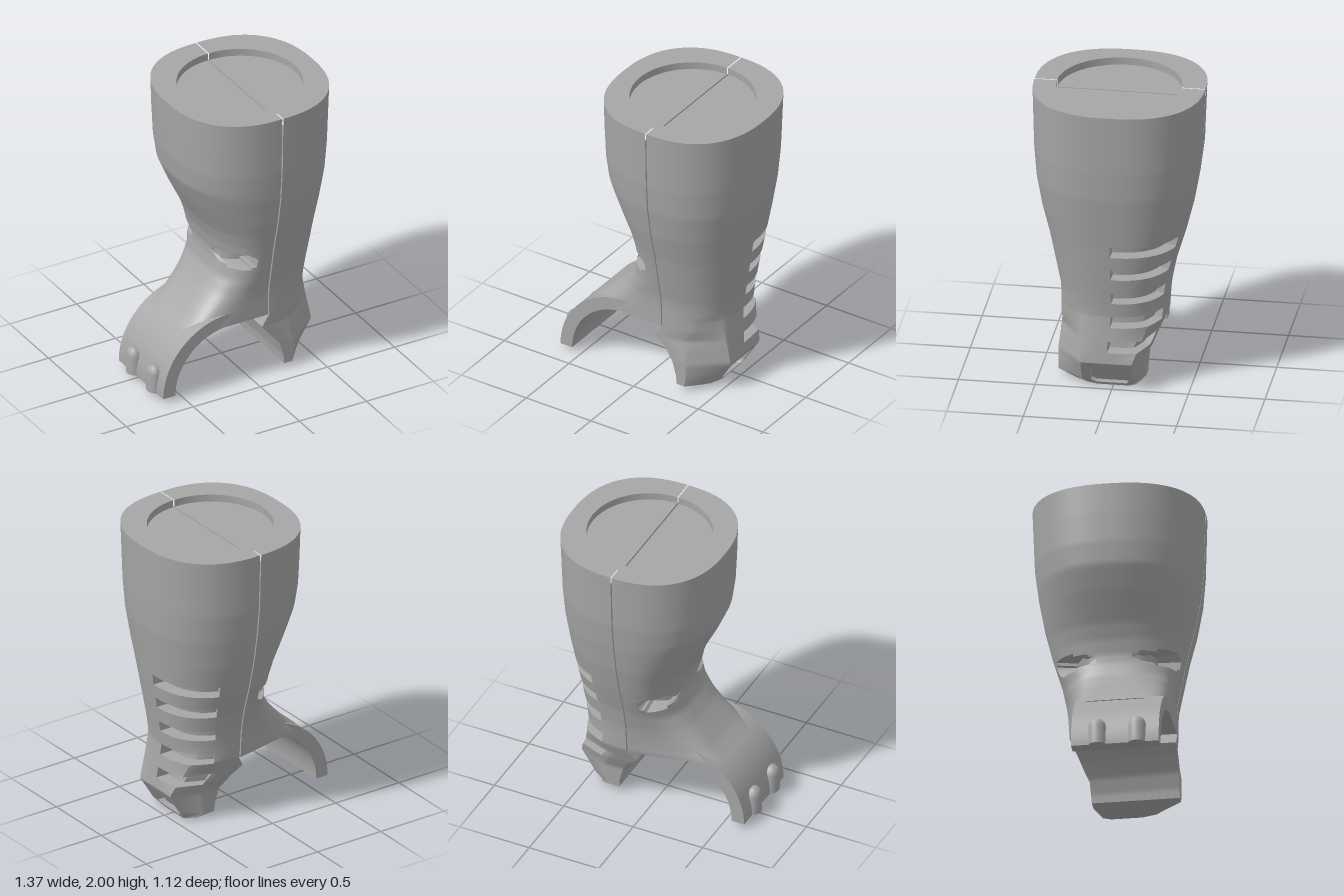
import * as THREE from 'three';
import { toCreasedNormals } from 'three/addons/utils/BufferGeometryUtils.js';

// linear lookup in rows of [y, v0, v1, ...], listed from high y to low y
function at(table, y) {
  for (let i = 1; i < table.length; i++) {
    const a = table[i - 1], b = table[i];
    if (y >= b[0]) {
      const t = Math.min(1, (a[0] - y) / (a[0] - b[0]));
      return a.slice(1).map((v, k) => v + (b[k + 1] - v) * t);
    }
  }
  return table[table.length - 1].slice(1);
}

// y, front z, back z
const DEPTH = [[2, .56, -.555], [1.6, .55, -.54], [1.4, .535, -.515], [1.2, .5, -.48], [1, .45, -.43], [.8, .41, -.37],
  [.65, .38, -.34], [.58, .375, -.333], [.45, .375, -.325], [.3, .375, -.26], [.2, .375, -.21], [.04, .375, -.2], [0, .2, -.15]];
// y, outer x, section exponent, narrowing of the back towards the strap
const LEFT = [[2, -.41, .83, 0], [1.8, -.405, .83, 0], [1.6, -.395, .83, 0], [1.45, -.375, .84, 0], [1.3, -.31, .85, 0],
  [1.2, -.26, .85, 0], [1.1, -.21, .84, 0], [1, -.175, .82, 0], [.9, -.155, .8, 0], [.84, -.156, .76, .05],
  [.75, -.175, .68, .15], [.65, -.24, .55, .25], [.58, -.3, .45, .32], [.5, -.375, .35, .37], [.44, -.45, .3, .38]];
// y, inner x, outer x
const RIGHT = [[2, .137, .68], [1.6, .137, .665], [1.4, .137, .65], [1.2, .137, .62], [1, .137, .59], [.8, .137, .56],
  [.6, .137, .53], [.52, .137, .52], [.44, .137, .526], [.36, .085, .535], [.3, .155, .54], [.2, .217, .55],
  [.1, .245, .487], [.04, .25, .45], [0, .38, .425]];
// faceted heel section: u, x fraction, z fraction
const HEEL = [[1, 0, -1], [.9, .4, -1], [.75, 1, -.65], [.35, 1, .53], [.2, .3, 1], [0, 0, 1]];
const SLOTS = [[.97, 1.045], [.8, .87], [.62, .695], [.445, .52], [.275, .35]];
const SLOT_U = [.5, .87], POCKET_U = [.4, .7];
const EPS = .001, inside = (v, [a, b]) => v > a && v < b;

const spow = (v, e) => Math.sign(v) * Math.pow(Math.abs(v), e);

function leftPoint(u, y) {
  const [xo, e, k] = at(LEFT, y), [zf, zb] = at(DEPTH, y);
  const s = spow(Math.sin(u * Math.PI), e), c = spow(Math.cos(u * Math.PI), e);
  const x = .128 + (xo - .128) * s;
  let z = c > 0 ? c * zf : -c * zb * (1 - k * s);
  // lens-shaped eyelet at the waist
  if (Math.hypot((x + .06) / .09, (y - .88) / .05) < 1) z *= .65;
  return [x, y, z];
}

function rightPoint(u, y) {
  const [xi, xo] = at(RIGHT, y), [zf, zb] = at(DEPTH, y);
  let s = spow(Math.sin(u * Math.PI), .83), c = spow(Math.cos(u * Math.PI), .83);
  const t = THREE.MathUtils.clamp((.56 - y) / .34, 0, 1), [hx, hz] = at(HEEL, u);
  s += (hx - s) * t;
  c += (hz - c) * t;
  let x = xi + (xo - xi) * s, z = c > 0 ? c * zf : -c * zb;
  // side slots and the heel pocket are sunk into the surface
  if (inside(u, SLOT_U) && SLOTS.some(r => inside(y, r))) {
    x -= .09 * s;
    z *= .82;
  }
  if (inside(u, POCKET_U) && inside(y, [.02, .15])) x -= .045;
  return [x, y, z];
}

// one half of the sleeve: recess floor, rim, outer wall, split face and bottom
function sleeveHalf(point, split, dir, yEnd) {
  const us = [], ys = [1.95];
  for (let i = 0; i <= 60; i++) us.push(i / 60);
  for (const v of [...SLOT_U, ...POCKET_U]) us.push(v - EPS, v + EPS);
  for (let y = 2; y > yEnd + .01; y -= .02) ys.push(y);
  if (dir > 0) {
    for (const v of [...SLOTS.flat(), .15, .02]) ys.push(v - EPS, v + EPS);
    ys.push(.04);
  }
  ys.push(yEnd);
  us.sort((a, b) => a - b);
  ys.sort((a, b) => b - a);
  const R = .405, n = us.length;
  const ring = (y, w) => us.map(u => [split + dir * w * R * Math.sin(u * Math.PI), y, R * Math.cos(u * Math.PI) + .007]);
  const rows = [ring(1.95, 0), ring(1.95, 1), ring(2, 1), ...ys.map(y => us.map(u => point(u, y)))];
  const pos = rows.flat(2), index = [];
  const tri = (a, b, c) => dir > 0 ? index.push(a, b, c) : index.push(a, c, b);
  for (let i = 0; i < rows.length - 1; i++) {
    const wrap = i > 2 && rows[i][0][1] <= 1.951;
    for (let j = 0; j < (wrap ? n : n - 1); j++) {
      const a = i * n + j, b = i * n + (j + 1) % n;
      tri(a, a + n, b);
      tri(b, a + n, b + n);
    }
  }
  const last = rows[rows.length - 1], base = (rows.length - 1) * n;
  pos.push((last[0][0] + last[30][0]) / 2, yEnd, (last[0][2] + last[n - 1][2]) / 2);
  for (let j = 0; j < n; j++) tri(rows.length * n, base + (j + 1) % n, base + j);
  const g = new THREE.BufferGeometry();
  g.setAttribute('position', new THREE.Float32BufferAttribute(pos, 3));
  g.setIndex(index);
  return toCreasedNormals(g, .55);
}

export function createModel() {
  const group = new THREE.Group();
  const grey = new THREE.MeshStandardMaterial({ color: 0xa6a6a6 });
  grey.name = 'plain grey';
  const add = (name, geometry, x = 0, y = 0, z = 0) => {
    const m = new THREE.Mesh(geometry, grey);
    m.name = name;
    m.position.set(x, y, z);
    group.add(m);
    return m;
  };

  add('sleeveLeftHalf', sleeveHalf(leftPoint, .128, -1, .44));
  add('sleeveRightHalf', sleeveHalf(rightPoint, .137, 1, 0));

  // arched strap with a flat run up to the split
  const arch = new THREE.Shape();
  arch.moveTo(.128, .44);
  arch.lineTo(.128, .53);
  arch.lineTo(-.155, .53);
  arch.absarc(-.155, .035, .495, Math.PI / 2, Math.PI, false);
  arch.lineTo(-.56, .035);
  arch.absarc(-.155, .035, .405, Math.PI, Math.PI / 2, true);
  const strap = new THREE.ExtrudeGeometry(arch, { depth: .572, bevelEnabled: false, curveSegments: 32 });
  add('archStrap', toCreasedNormals(strap, .5), 0, 0, -.2);

  // two domed studs at the strap end
  const profile = [[0, 0], [.05, 0], [.05, .13], [.045, .155], [.03, .175], [0, .183]].map(p => new THREE.Vector2(...p));
  for (const z of [-.03, .23]) {
    const stud = add('strapStud', toCreasedNormals(new THREE.LatheGeometry(profile, 24), .9), -.635, .035, z);
    stud.scale.z = 1.15;
  }
  return group;
}
